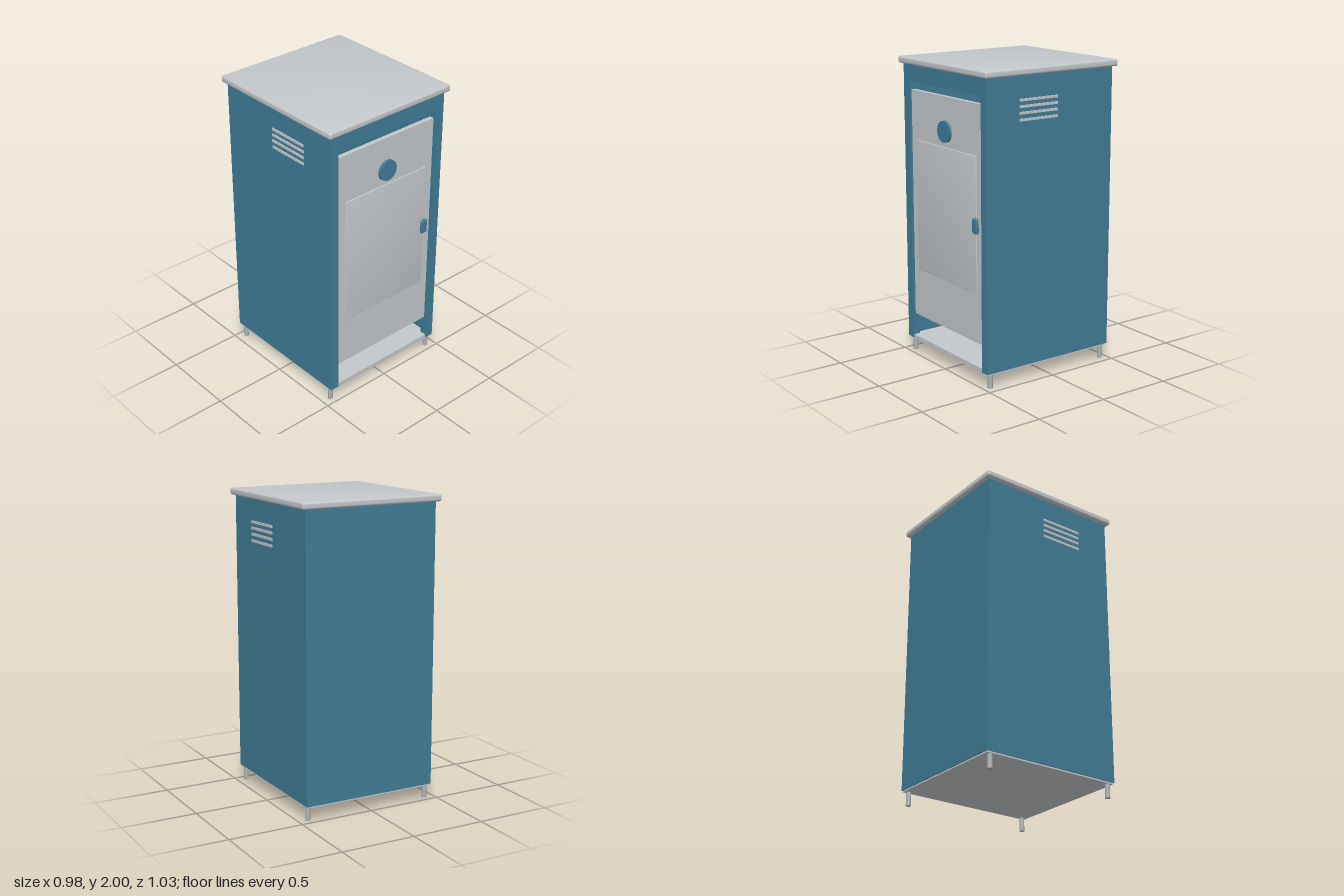
import * as THREE from 'three';
import { RoundedBoxGeometry } from 'three/addons/geometries/RoundedBoxGeometry.js';

const material = (name, color, side = THREE.FrontSide) => {
  const m = new THREE.MeshStandardMaterial({ color, side });
  m.name = name;
  return m;
};

export function createModel() {
  const model = new THREE.Group();
  model.name = 'cabin';
  const blue = material('blue panel', 0x3f7c96);
  const grey = material('light grey', 0xc3c7ca);
  const steel = material('leg steel', 0xaeb1b3);

  const add = (name, geometry, mat, x, y, z) => {
    const mesh = new THREE.Mesh(geometry, mat);
    mesh.name = name;
    mesh.position.set(x, y, z);
    model.add(mesh);
    return mesh;
  };
  // Box given by its limits on each axis
  const box = (name, mat, [x0, x1], [y0, y1], [z0, z1]) =>
    add(name, new THREE.BoxGeometry(x1 - x0, y1 - y0, z1 - z0), mat,
      (x0 + x1) / 2, (y0 + y1) / 2, (z0 + z1) / 2);
  // Rounded box whose normals fan out slightly, for a softly pressed sheet
  const softBox = (w, h, d, radius, fan) => {
    const g = new RoundedBoxGeometry(w, h, d, 3, radius);
    const p = g.attributes.position, n = g.attributes.normal;
    const v = new THREE.Vector3();
    for (let i = 0; i < p.count; i++) {
      v.set(n.getX(i) + fan * p.getX(i) / w, n.getY(i) + fan * p.getY(i) / h,
        n.getZ(i) + fan * p.getZ(i) / d).normalize();
      n.setXYZ(i, v.x, v.y, v.z);
    }
    return g;
  };

  // Roof, floor and shell
  add('roof', softBox(0.98, 0.045, 1.03, 0.014, 0.25), grey, 0, 1.9775, 0);
  box('floor', grey, [-0.455, 0.455], [0.09, 0.12], [-0.482, 0.482]);
  box('backWall', blue, [-0.46, 0.46], [0.1, 1.957], [-0.488, -0.458]);
  box('header', blue, [-0.4, 0.4], [1.845, 1.957], [0.438, 0.488]);
  box('ceiling', blue, [-0.43, 0.43], [1.93, 1.957], [-0.458, 0.438]);

  for (const s of [-1, 1]) {
    const span = (a, b) => (s > 0 ? [a, b] : [-b, -a]);
    const side = s > 0 ? 'left' : 'right';
    box(side + 'Wall', blue, span(0.43, 0.46), [0.1, 1.957], [-0.458, 0.438]);
    box(side + 'FrontPost', blue, span(0.4, 0.46), [0.1, 1.957], [0.438, 0.488]);
    box(side + 'BenchLeg', grey, span(0.355, 0.395), [0.12, 0.42], [-0.2, -0.16]);
    // Vent slats
    for (const y of [1.682, 1.724, 1.764, 1.804])
      box(side + 'VentSlat', grey, span(0.455, 0.467), [y - 0.008, y + 0.008], [-0.047, 0.245]);
    // Feet
    for (const z of [-0.45, 0.45])
      add(side + 'Foot', new THREE.CylinderGeometry(0.016, 0.016, 0.1, 20), steel, s * 0.435, 0.05, z);
  }
  box('benchSeat', grey, [-0.43, 0.43], [0.42, 0.45], [-0.458, -0.15]);

  // Door with pressed panel, round plate and handle
  box('door', grey, [-0.39, 0.39], [0.272, 1.79], [0.445, 0.475]);
  add('doorPanel', softBox(0.67, 0.875, 0.018, 0.004, 0.25), grey, 0, 1.033, 0.471);
  const plate = add('roundPlate', new THREE.CylinderGeometry(0.069, 0.069, 0.018, 40), blue, 0, 1.57, 0.483);
  plate.rotation.x = Math.PI / 2;
  add('handle', new RoundedBoxGeometry(0.05, 0.098, 0.026, 3, 0.012), blue, 0.333, 1.032, 0.484);

  return model;
}
